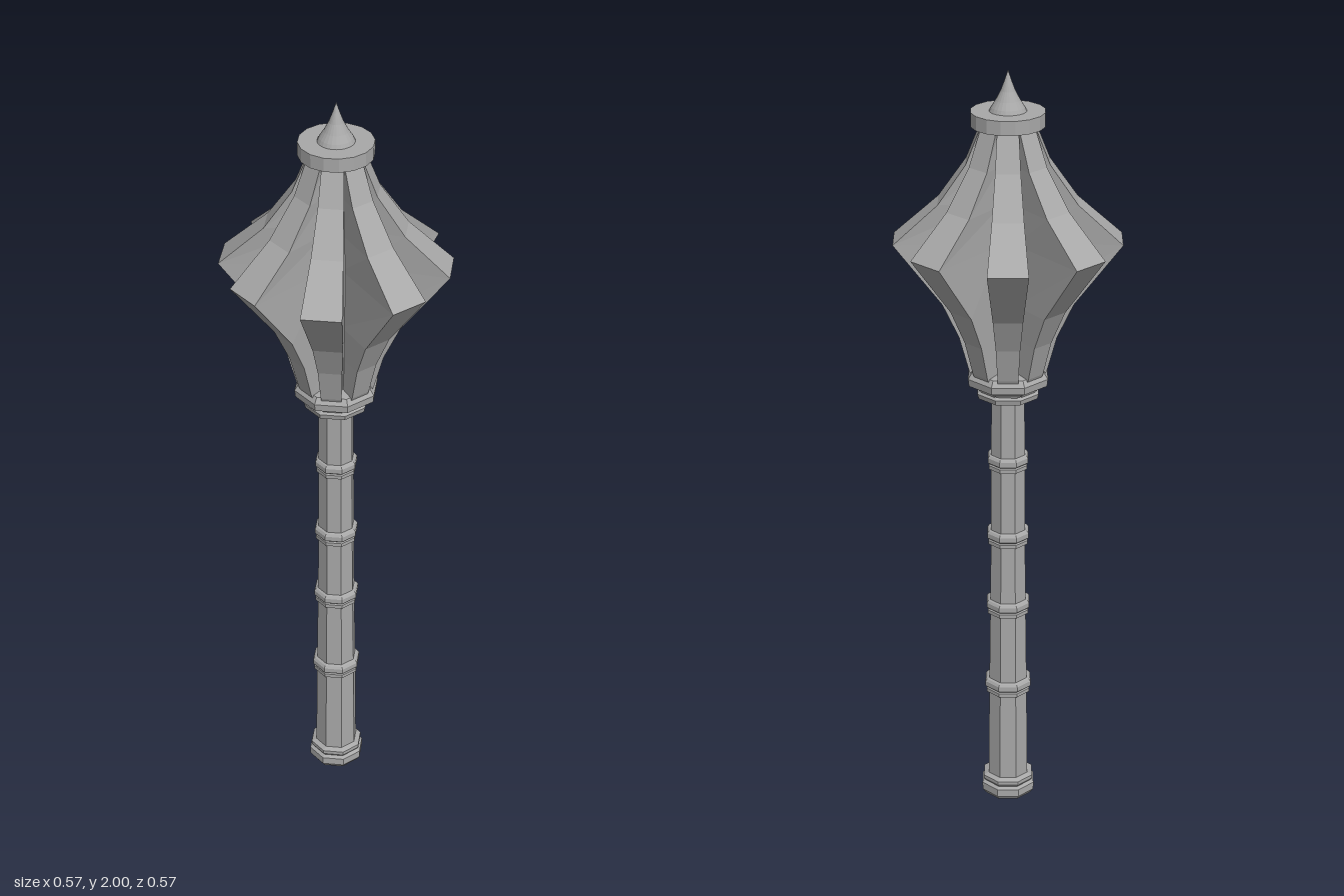
import * as THREE from 'three';

const steel = new THREE.MeshStandardMaterial({ color: 0xa8a8a8, flatShading: true });
steel.name = 'steel';
const smoothSteel = steel; // one metal for the whole mace

// Faceted lathe with flat sides facing the front; radii are measured to the flats
function turned(name, points, sides = 8) {
  const half = Math.PI / sides;
  const profile = points.map(([r, y]) => new THREE.Vector2(r / Math.cos(half), y));
  const mesh = new THREE.Mesh(new THREE.LatheGeometry(profile, sides, half), smoothSteel);
  mesh.name = name;
  return mesh;
}

// Wedge-shaped blade: rows of [y, outer radius, outer half width]
function flangeGeometry() {
  const rows = [
    [1.17, 0.07, 0.024], [1.23, 0.098, 0.026], [1.32, 0.122, 0.03], [1.41, 0.163, 0.037],
    [1.57, 0.283, 0.05], [1.67, 0.172, 0.039], [1.77, 0.103, 0.031], [1.87, 0.064, 0.026],
  ];
  const inner = 0.045, innerHalf = 0.0186;
  const positions = [];
  const index = [];
  for (const [y, r, w] of rows) {
    positions.push(-innerHalf, y, inner, -w, y, r, w, y, r, innerHalf, y, inner);
  }
  for (let i = 0; i < rows.length - 1; i++) {
    for (let k = 0; k < 4; k++) {
      const a = i * 4 + k, b = i * 4 + (k + 1) % 4;
      index.push(a, b, b + 4, a, b + 4, a + 4);
    }
  }
  const top = (rows.length - 1) * 4;
  index.push(0, 2, 1, 0, 3, 2, top, top + 1, top + 2, top, top + 2, top + 3);
  const geometry = new THREE.BufferGeometry();
  geometry.setAttribute('position', new THREE.Float32BufferAttribute(positions, 3));
  geometry.setIndex(index);
  geometry.computeVertexNormals();
  return geometry;
}

export function createModel() {
  const mace = new THREE.Group();
  mace.name = 'mace';

  // Tapered octagonal grip and the hidden core of the head
  mace.add(turned('shaft', [[0.052, 0.04], [0.049, 0.33], [0.046, 0.56], [0.044, 0.76], [0.042, 1.18]]));
  mace.add(turned('headCore', [[0.05, 1.17], [0.058, 1.3], [0.062, 1.57], [0.055, 1.87]]));

  // Pommel with a recessed underside
  mace.add(turned('pommel', [
    [0, 0.012], [0.038, 0.012], [0.044, 0], [0.06, 0.002], [0.068, 0.014], [0.068, 0.034],
    [0.06, 0.04], [0.064, 0.046], [0.064, 0.056], [0.05, 0.063],
  ]));

  // Double bands around the grip
  for (const [y, r] of [[0.33, 0.059], [0.562, 0.055], [0.763, 0.053], [0.975, 0.051]]) {
    mace.add(turned('gripBand', [
      [r - 0.013, y - 0.023], [r - 0.003, y - 0.02], [r - 0.003, y - 0.01], [r - 0.006, y - 0.007],
      [r, y - 0.002], [r, y + 0.011], [r - 0.004, y + 0.017], [r - 0.013, y + 0.021],
    ]));
  }

  // Moulded collar below the flanges
  mace.add(turned('collar', [
    [0.04, 1.155], [0.074, 1.155], [0.077, 1.168], [0.07, 1.175], [0.082, 1.185],
    [0.098, 1.193], [0.1, 1.212], [0.09, 1.228], [0.05, 1.232],
  ]));

  // Eight flanges
  const blade = flangeGeometry();
  for (let i = 0; i < 8; i++) {
    const flange = new THREE.Mesh(blade, steel);
    flange.name = 'flange';
    flange.rotation.y = i * Math.PI / 4;
    mace.add(flange);
  }

  // Cap disc and pointed finial
  mace.add(turned('cap', [[0, 1.862], [0.091, 1.862], [0.091, 1.898], [0, 1.898]], 16));
  mace.add(turned('finial', [
    [0.046, 1.897], [0.041, 1.908], [0.03, 1.925], [0.018, 1.948], [0.008, 1.975], [0, 2],
  ], 24));
  return mace;
}
